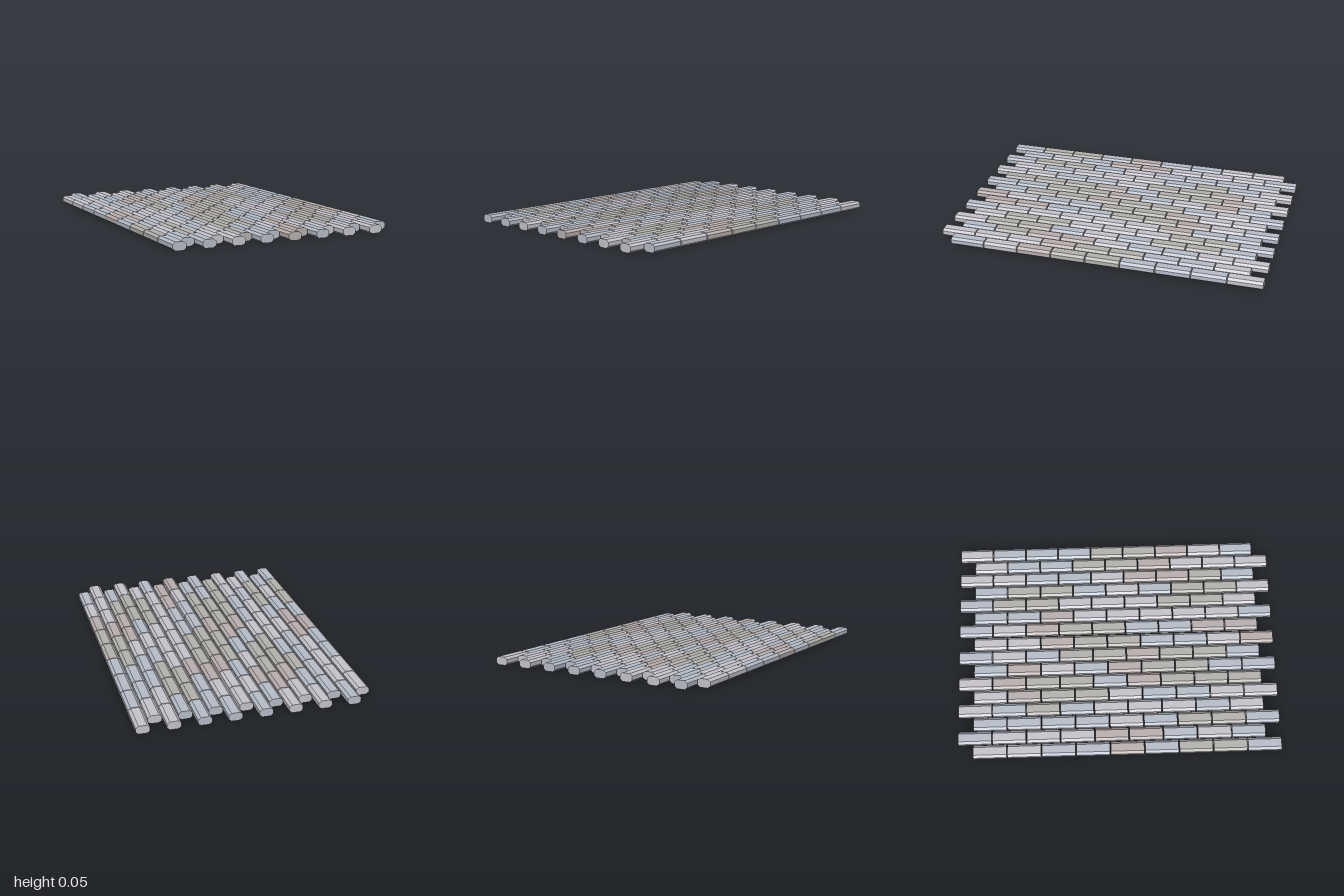
import * as THREE from 'three';

const WIDTH = 0.081, HEIGHT = 0.05, LENGTH = 0.206;
const PITCH_X = 0.0884, PITCH_Z = 0.2125;

// Stone tints: lavender, blue, warm grey, pink
const TINTS = { L: 0xc6c4cb, B: 0xb7bdc8, G: 0xb3b2af, P: 0xb9b0b0 };

// One string per column, stones listed from back to front
const COLUMNS = [
  'LLBBPBGGB', 'BLLLPPBLB', 'BBBBLBGGB', 'LBGBLLLBL',
  'LPGGLBBLL', 'LPGGBPGGG', 'BPLBPGGBB', 'BLBGGPGGB',
  'LLPGGBBLP', 'BLPGGBBPP', 'BBPLLLLLB', 'BGGLLLGGL',
  'BGGBLBGGL', 'LLBBLPPGB', 'LBBGGPLLL', 'LBBBGGPLB',
];

// Paving stone: chamfered cross-section with flat ends
function stoneGeometry() {
  const w = WIDTH / 2, cx = 0.016, cy = 0.013;
  const shape = new THREE.Shape([
    [-w + cx, 0], [w - cx, 0], [w, cy], [w, HEIGHT - cy],
    [w - cx, HEIGHT], [-w + cx, HEIGHT], [-w, HEIGHT - cy], [-w, cy],
  ].map(([x, y]) => new THREE.Vector2(x, y)));
  return new THREE.ExtrudeGeometry(shape, { depth: LENGTH, bevelEnabled: false });
}

export function createModel() {
  const model = new THREE.Group();
  model.name = 'pavingPath';
  const geometry = stoneGeometry();
  const materials = {};
  for (const key in TINTS) {
    materials[key] = new THREE.MeshStandardMaterial({ color: TINTS[key] });
  }

  COLUMNS.forEach((tints, c) => {
    const column = new THREE.Group();
    column.name = `stoneColumn${c + 1}`;
    // A slightly wider joint splits the path after the ninth column
    column.position.x = (c - 7.5) * PITCH_X + (c > 8 ? 0.002 : -0.002);
    // Alternate columns are staggered: odd ones start at the back edge
    const start = c % 2 ? -1 : 1 - LENGTH - 8 * PITCH_Z;
    [...tints].forEach((tint, r) => {
      const stone = new THREE.Mesh(geometry, materials[tint]);
      stone.name = 'stone';
      stone.position.z = start + r * PITCH_Z;
      column.add(stone);
    });
    model.add(column);
  });
  return model;
}
